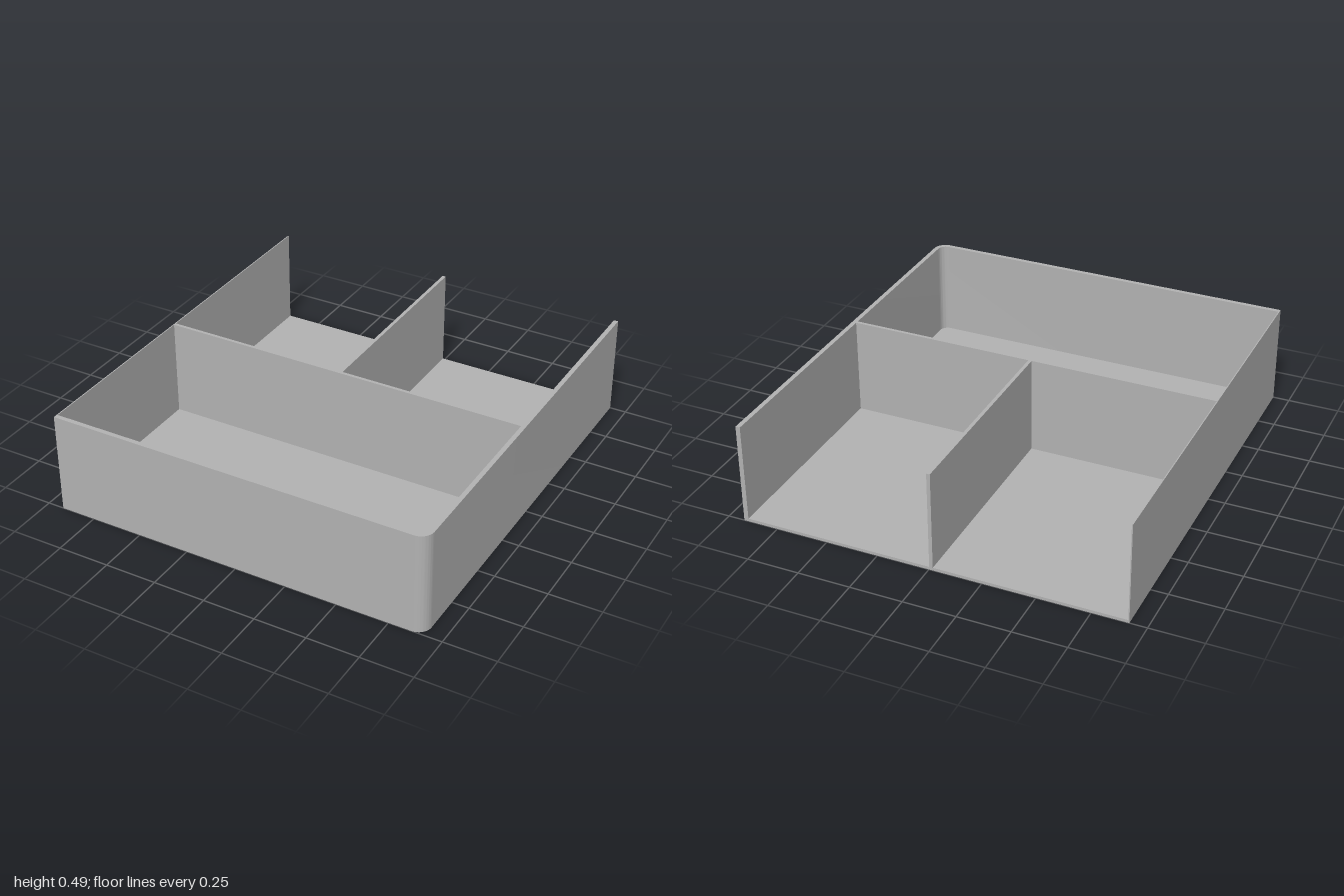
import * as THREE from 'three';
import { toCreasedNormals } from 'three/addons/utils/BufferGeometryUtils.js';

const W = 0.92;       // half width
const D = 1;          // half depth
const H = 0.49;       // total height
const FLOOR = 0.014;  // floor thickness
const WALL = 0.022;   // outer wall thickness
const THIN = 0.005;   // thin side wall thickness
const R = 0.062;      // outer corner radius

export function createModel() {
  const group = new THREE.Group();
  group.name = 'openTray';
  const grey = new THREE.MeshStandardMaterial({ color: 0xb2b2b2 });
  grey.name = 'grey';

  const add = (name, geometry) => {
    const mesh = new THREE.Mesh(geometry, grey);
    mesh.name = name;
    group.add(mesh);
    return mesh;
  };

  // Plan outline (shape y is -z) raised from y0 to y1
  const raise = (shape, y0, y1) => {
    const g = new THREE.ExtrudeGeometry(shape, { depth: y1 - y0, bevelEnabled: false, curveSegments: 12 });
    g.rotateX(-Math.PI / 2);
    g.translate(0, y0, 0);
    return toCreasedNormals(g, 0.6);
  };

  // Upright panel from plan limits, standing on the floor
  const panel = (name, x0, x1, z0, z1) => {
    const g = new THREE.BoxGeometry(x1 - x0, H - FLOOR, z1 - z0);
    g.translate((x0 + x1) / 2, (H + FLOOR) / 2, (z0 + z1) / 2);
    add(name, g);
  };

  // Floor with one rounded corner at the front left
  const floor = new THREE.Shape();
  floor.moveTo(-W, -D);
  floor.lineTo(W - R, -D);
  floor.absarc(W - R, -D + R, R, -Math.PI / 2, 0, false);
  floor.lineTo(W, D);
  floor.lineTo(-W, D);
  floor.closePath();
  add('floor', raise(floor, 0, FLOOR));

  // Front and left walls as one piece, bent round the corner
  const wall = new THREE.Shape();
  wall.moveTo(-W, -D);
  wall.lineTo(W - R, -D);
  wall.absarc(W - R, -D + R, R, -Math.PI / 2, 0, false);
  wall.lineTo(W, D);
  wall.lineTo(W - WALL, D);
  wall.lineTo(W - WALL, -D + R);
  wall.absarc(W - R, -D + R, R - WALL, 0, -Math.PI / 2, true);
  wall.lineTo(-W, -D + WALL);
  wall.closePath();
  add('frontAndLeftWall', raise(wall, FLOOR, H));

  // Thin right wall and the two dividers; the back stays open
  panel('rightWall', -W, -W + THIN, -D, D - WALL);
  panel('crossDivider', -W + THIN, W - WALL, 0.05, 0.066);
  panel('rearDivider', -0.019, -0.002, -D, 0.05);

  return group;
}
